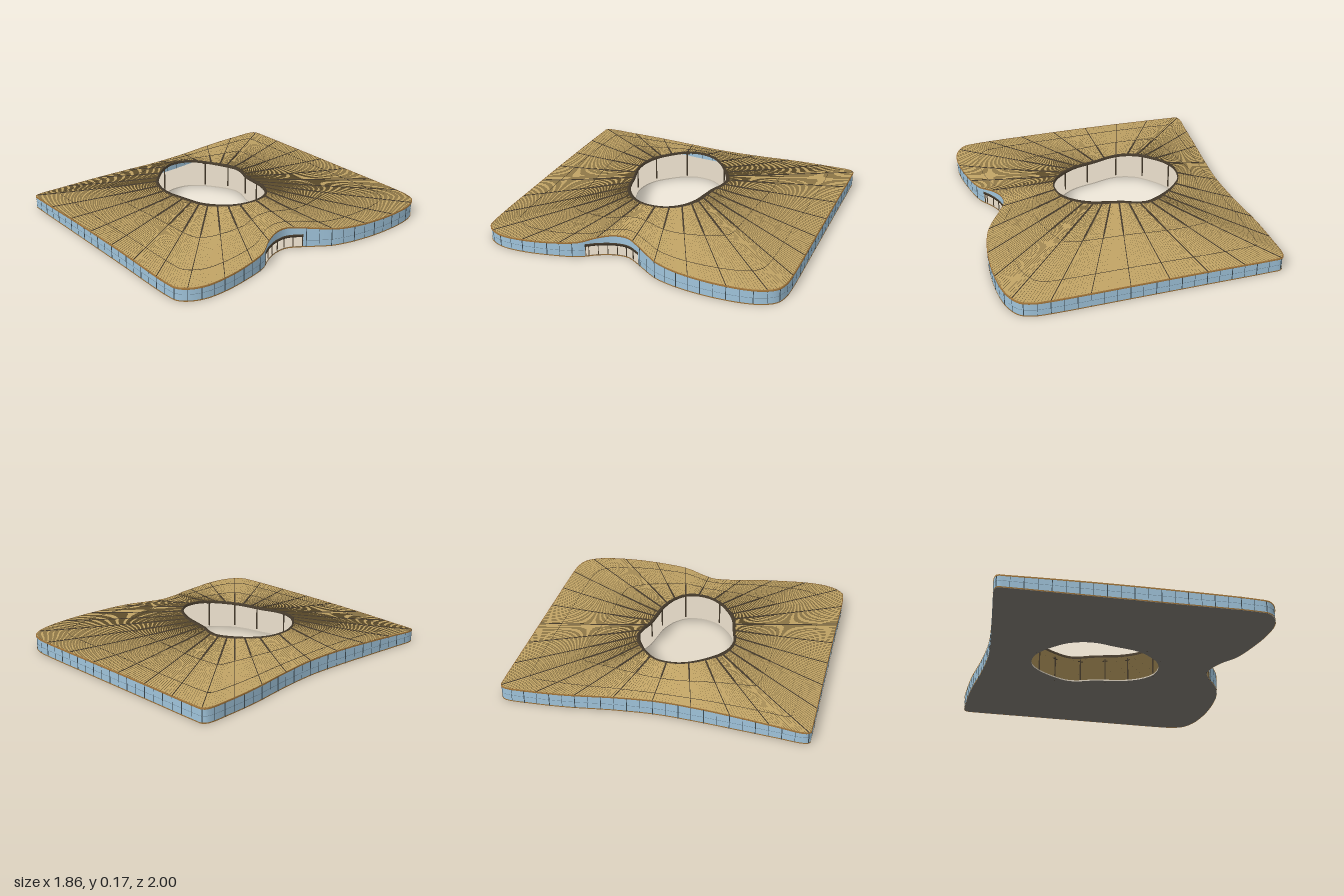
import * as THREE from 'three';
import { mergeGeometries } from 'three/addons/utils/BufferGeometryUtils.js';

const V = (x, y, z) => new THREE.Vector3(x, y, z);
const N = 360;
const CENTER = { x: -0.06, z: 0.01 };

// Roof edge outline: x, z, edge height
const OUTER = [
  [-0.385, -0.997, 0.078], [-0.34, -0.985, 0.078], [0, -0.87, 0.08], [0.4, -0.735, 0.08], [0.78, -0.605, 0.08],
  [0.85, -0.575, 0.08], [0.905, -0.53, 0.081], [0.925, -0.46, 0.082], [0.92, -0.37, 0.083], [0.875, -0.2, 0.086],
  [0.8, -0.03, 0.09], [0.73, 0.075, 0.098], [0.68, 0.12, 0.105], [0.6, 0.18, 0.113], [0.535, 0.24, 0.12],
  [0.515, 0.31, 0.12], [0.52, 0.4, 0.108], [0.545, 0.5, 0.09], [0.535, 0.66, 0.078], [0.51, 0.8, 0.074],
  [0.47, 0.91, 0.071], [0.42, 0.97, 0.07], [0.365, 0.997, 0.07], [0.3, 0.985, 0.07], [-0.1, 0.84, 0.076],
  [-0.5, 0.695, 0.075], [-0.89, 0.553, 0.067], [-0.924, 0.538, 0.067], [-0.925, 0.505, 0.067], [-0.87, 0.38, 0.073],
  [-0.78, 0.18, 0.082], [-0.7, 0, 0.086], [-0.62, -0.2, 0.086], [-0.56, -0.42, 0.083], [-0.51, -0.66, 0.08],
  [-0.46, -0.84, 0.078], [-0.41, -0.98, 0.078],
];

// Courtyard outline: x, z
const INNER = [
  [-0.15, -0.25], [-0.08, -0.25], [-0.03, -0.225], [0.03, -0.175], [0.1, -0.135], [0.18, -0.09], [0.25, -0.02],
  [0.28, 0.06], [0.26, 0.15], [0.2, 0.22], [0.1, 0.265], [0.02, 0.277], [-0.1, 0.265], [-0.2, 0.255], [-0.27, 0.225],
  [-0.33, 0.17], [-0.375, 0.09], [-0.405, 0], [-0.405, -0.08], [-0.36, -0.17], [-0.28, -0.22],
];

function sampleLoop(points, count) {
  const curve = new THREE.CatmullRomCurve3(points.map(([x, z, h = 0]) => V(x, h, z)), true, 'centripetal');
  curve.arcLengthDivisions = 2000;
  return curve.getSpacedPoints(count);
}

// Surface through rows of points
function loft(rows) {
  const w = rows[0].length, index = [];
  for (let j = 0; j < rows.length - 1; j++) {
    for (let i = 0; i < w - 1; i++) {
      const a = j * w + i, b = a + w;
      index.push(a, a + 1, b + 1, a, b + 1, b);
    }
  }
  const g = new THREE.BufferGeometry().setFromPoints(rows.flat());
  g.setIndex(index);
  g.computeVertexNormals();
  return g;
}

const range = (from, to) => Array.from({ length: to - from + 1 }, (_, k) => from + k);

export function createModel() {
  const group = new THREE.Group();
  const add = (name, geometry, color) => {
    const g = Array.isArray(geometry) ? mergeGeometries(geometry) : geometry;
    const mesh = new THREE.Mesh(g, new THREE.MeshStandardMaterial({ color, side: THREE.DoubleSide }));
    mesh.name = name;
    group.add(mesh);
  };
  const TAN = 0xbfa264, DARK = 0x463b2c, SEAM = 0x6b5832, GLASS = 0x9fc3da, CREAM = 0xd3c9b8, GREY = 0x77736b, TRIM = 0x9a7038;

  // Pair every edge point with the courtyard point in the same direction
  const outer = sampleLoop(OUTER, N);
  const angle = p => Math.atan2(p.z - CENTER.z, p.x - CENTER.x);
  const candidates = sampleLoop(INNER, 2400).map(p => ({ p, a: angle(p) }));
  const inner = outer.map(o => {
    const a = angle(o);
    let best = candidates[0], gap = 9;
    for (const c of candidates) {
      const d = Math.abs(Math.atan2(Math.sin(c.a - a), Math.cos(c.a - a)));
      if (d < gap) { gap = d; best = c; }
    }
    const p = best.p.clone();
    p.y = 0.15 + 0.019 * Math.min(1, ((p.x + 0.065) / 0.345) ** 2);
    return p;
  });

  // Point on the roof: t = 0 at the courtyard, 1 at the outer edge
  const roofAt = (i, t, lift = 0) => {
    const p = inner[i].clone().lerp(outer[i], t);
    p.y = THREE.MathUtils.lerp(inner[i].y, outer[i].y, t + 0.15 * t * (1 - t)) + lift;
    return p;
  };
  const at = (i, t, y) => roofAt(i, t).setY(y);
  const all = range(0, N);
  const STEPS = 14;
  const ts = range(0, STEPS).map(k => k / STEPS);

  add('roof', loft(ts.map(t => all.map(i => roofAt(i, t)))), TAN);

  // Fine upright seams and two ring seams
  const seams = all.slice(0, N).map(i => loft([0, 0.002].map(l => ts.map(t => roofAt(i, t, l)))));
  add('roofSeams', seams, SEAM);
  add('roofRings', [0.42, 0.8].map(r => loft([0, 0.003].map(l => all.map(i => roofAt(i, r, l))))), DARK);

  // Main radial ribs, wider close to the courtyard
  const ribs = [];
  for (let k = 0; k < 30; k++) {
    const i = k * 12;
    const side = outer[i].clone().sub(inner[i]).setY(0).normalize().cross(V(0, 1, 0));
    const row = (s, lift) => ts.map(t => roofAt(i, t, lift).addScaledVector(side, s * (t < 0.4 ? 0.004 : 0.0015)));
    ribs.push(loft([row(-1, 0), row(-1, 0.004), row(1, 0.004), row(1, 0)]));
  }
  add('roofRibs', ribs, DARK);

  // Courtyard rim and outer eave
  add('courtyardRim', loft([
    all.map(i => roofAt(i, 0.025, 0.001)), all.map(i => roofAt(i, 0.02, 0.005)),
    all.map(i => roofAt(i, 0, 0.005)), all.map(i => roofAt(i, 0, -0.01)),
  ]), DARK);
  add('eave', loft([
    all.map(i => roofAt(i, 0.996, 0.003)), all.map(i => roofAt(i, 1.003, 0.003)), all.map(i => roofAt(i, 1.003, -0.005)),
  ]), TRIM);

  // Floor slab with courtyard cut out
  const level = y => loft([0.01, 0.5, 0.997].map(t => all.map(i => at(i, t, y))));
  add('floor', level(0.007), CREAM);
  add('slabUnderside', level(0), GREY);
  add('slabEdges', [
    loft([0, 0.007].map(y => all.map(i => at(i, 0.01, y)))),
  ], CREAM);
  add('plinth', loft([0, 0.006].map(y => all.map(i => at(i, 1.001, y)))), TRIM);

  // Glass facade, left open below the canopy of the entrance
  const door = all.filter(i => outer[i].x > 0.4 && outer[i].z > 0.17 && outer[i].z < 0.48);
  const first = door[0], last = door[door.length - 1];
  const wall = (list, low, high) => loft([list.map(i => at(i, 0.997, low)), list.map(i => at(i, 0.997, high ?? outer[i].y))]);
  const runs = [range(0, first), range(last, N)];
  add('glassFacade', [...runs.map(r => wall(r, 0.004)), wall(door, 0.072)], GLASS);
  add('facadeRails', runs.map(r => loft([0.037, 0.039].map(y => r.map(i => at(i, 0.999, y))))), 0x6f8796);

  // Entrance canopy band
  add('entranceCanopy', loft([
    door.map(i => at(i, 0.96, 0.06)), door.map(i => at(i, 1.003, 0.06)),
    door.map(i => at(i, 1.003, 0.075)), door.map(i => at(i, 0.96, 0.075)),
  ]), DARK);

  // Uprights turned to follow the outline
  const post = (i, t, width, low, high) => {
    const p = at(i, t, (low + high) / 2);
    const d = outer[(i + 1) % N].clone().sub(outer[(i + N - 1) % N]);
    const g = new THREE.BoxGeometry(width, high - low, width);
    g.rotateY(-Math.atan2(d.z, d.x));
    return g.translate(p.x, p.y, p.z);
  };
  const mullions = [];
  for (let i = 0; i < N; i += 4) {
    if (i < first || i > last) mullions.push(post(i, 0.997, i % 8 ? 0.002 : 0.004, 0, outer[i].y));
  }
  add('mullions', mullions, 0x3c4a52);
  add('doorPosts', door.filter((_, k) => k % 3 === 0).concat(last).map(i => post(i, 0.985, 0.004, 0, 0.062)), DARK);

  // Slim columns with flat caps around the courtyard
  const columns = [];
  for (let i = 0; i < N; i += 30) {
    const top = roofAt(i, 0.05);
    columns.push(new THREE.CylinderGeometry(0.004, 0.004, top.y, 8).translate(top.x, top.y / 2, top.z));
    const cap = new THREE.BoxGeometry(0.03, 0.004, 0.006);
    cap.rotateY(-angle(top) + Math.PI / 2);
    columns.push(cap.translate(top.x, top.y - 0.012, top.z));
  }
  add('courtyardColumns', columns, DARK);

  return group;
}
